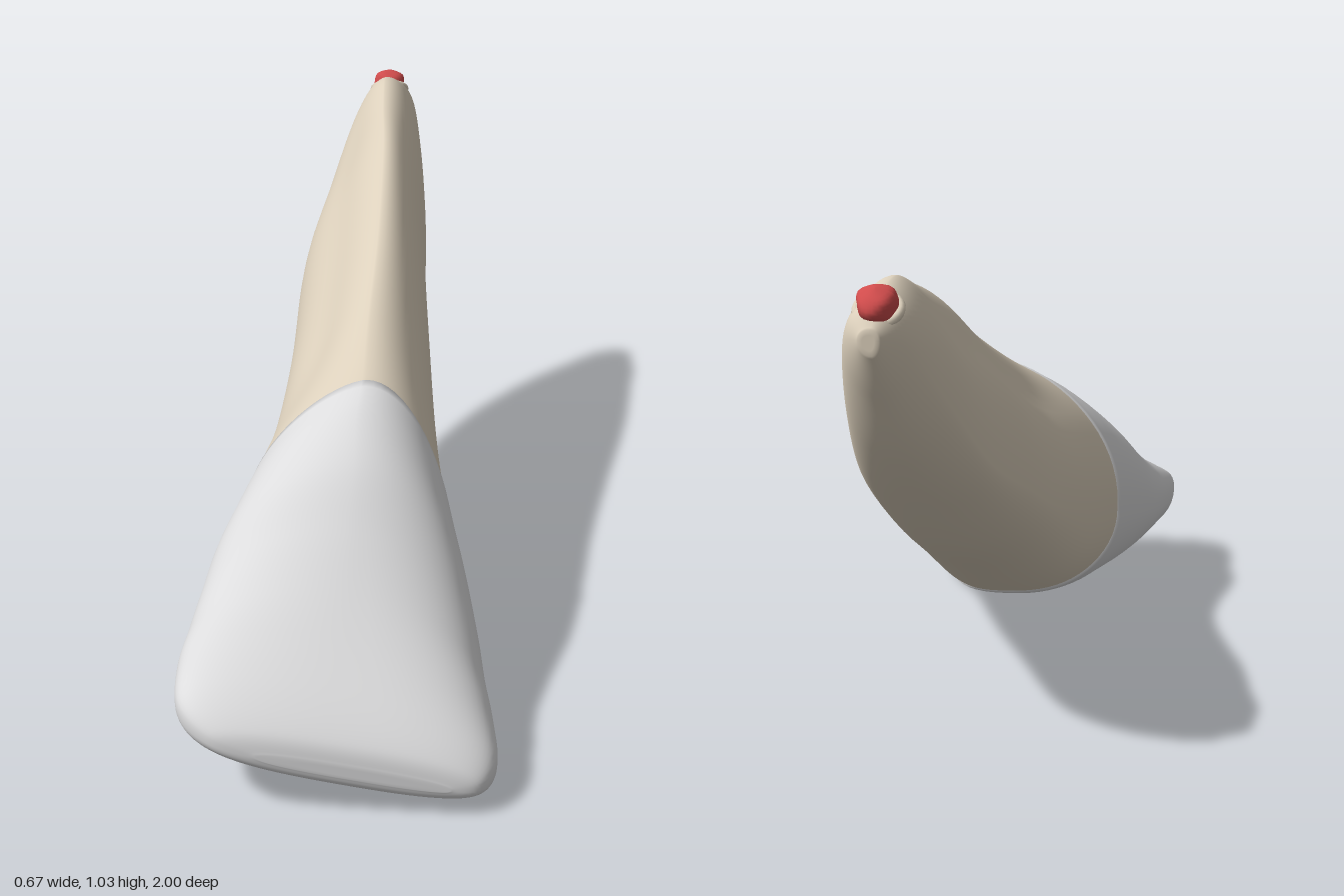
import * as THREE from 'three';

// Cross-sections from biting edge to root tip:
// z, top y, bottom y, min x, max x, x of top, x of bottom, y of widest point, upper roundness
const SECTIONS = [
  [1.00, .135, .105, -.16, .23, .03, .03, .12, .85],
  [.985, .18, .078, -.26, .295, .03, .03, .13, .8],
  [.92, .235, .047, -.325, .33, .02, .04, .145, .8],
  [.80, .30, .035, -.335, .33, .02, .05, .15, .88],
  [.70, .37, .031, -.322, .32, .03, .05, .165, 1.0],
  [.60, .46, .032, -.305, .31, .04, .05, .19, 1.12],
  [.50, .56, .038, -.282, .29, .05, .05, .23, 1.2],
  [.40, .625, .047, -.245, .265, .05, .05, .27, 1.25],
  [.30, .665, .062, -.212, .245, .06, .05, .30, 1.35],
  [.10, .73, .122, -.165, .232, .07, .05, .34, 1.45],
  [-.20, .835, .25, -.128, .225, .095, .05, .42, 1.5],
  [-.50, .95, .385, -.105, .22, .11, .05, .53, 1.5],
  [-.70, 1.0, .53, -.053, .225, .11, .07, .63, 1.5],
  [-.85, 1.033, .67, .008, .215, .115, .10, .78, 1.3],
  [-.95, 1.0, .81, .07, .195, .125, .12, .91, 1],
  [-1.0, .95, .90, .115, .155, .13, .13, .93, 1],
];
const LAST = SECTIONS.length - 1;
const SEGMENTS = 72;

// Smooth value of one column at a fractional section index
function column(s, k) {
  const i = Math.min(Math.floor(s), LAST - 1), t = s - i;
  const v = (n) => SECTIONS[THREE.MathUtils.clamp(n, 0, LAST)][k];
  const a = v(i - 1), b = v(i), c = v(i + 1), d = v(i + 2);
  return b + 0.5 * t * (c - a + t * (2 * a - 5 * b + 4 * c - d + t * (3 * (b - c) + d - a)));
}

// Point on the tooth surface; scale moves it towards the section's middle
function surface(s, angle, scale = 1) {
  const [z, top, bottom, minX, maxX, topX, bottomX, midY, p] = SECTIONS[0].map((_, k) => column(s, k));
  const c = Math.cos(angle), n = Math.sin(angle);
  const side = c > 0 ? maxX : minX;
  // the underside is flatter around the neck than along the root
  const low = 1 - 0.24 * THREE.MathUtils.smoothstep(z, -0.4, 0.2);
  const q = n > 0 ? Math.min(1, p) : low;
  const power = n > 0 ? (c > 0 ? Math.min(1, p * 0.85) : p) : low;
  let x = THREE.MathUtils.lerp(n > 0 ? topX : bottomX, side, Math.abs(c) ** power);
  let y = THREE.MathUtils.lerp(midY, n > 0 ? top : bottom, Math.abs(n) ** q);

  // long groove down the -x side of the root
  const along = THREE.MathUtils.smoothstep(-z, -0.3, 0) * (1 - THREE.MathUtils.smoothstep(-z, 0.55, 0.95));
  const f = scale * (1 - 0.11 * along * Math.exp(-(((angle - 2.33) / 0.3) ** 2)));
  const midX = (minX + maxX) / 2, centreY = (top + bottom) / 2;
  x = midX + (x - midX) * f;
  y = centreY + (y - centreY) * f;

  // the biting edge slopes down towards +x
  y -= 0.2 * THREE.MathUtils.smoothstep(z, 0.15, 0.75) * x;
  return [x, y, z];
}

// Section index where the gum line crosses a given angle
function gumLine(angle) {
  const n = Math.sin(angle), c = Math.cos(angle);
  const z = 0.37 - (n > 0 ? 0.07 : 0.27) * n * n - (c < 0 ? 0.04 * c * c : 0);
  let lo = 0, hi = LAST;
  for (let i = 0; i < 24; i++) {
    const mid = (lo + hi) / 2;
    if (column(mid, 0) > z) lo = mid; else hi = mid;
  }
  return lo;
}

// Skin rings of points; ring(i, angle) runs from front to back
function loft(count, ring) {
  const positions = [], index = [];
  for (let i = 0; i < count; i++) {
    for (let j = 0; j < SEGMENTS; j++) positions.push(...ring(i, (j / SEGMENTS) * Math.PI * 2));
  }
  for (let i = 0; i < count - 1; i++) {
    for (let j = 0; j < SEGMENTS; j++) {
      const k = (j + 1) % SEGMENTS;
      const a = i * SEGMENTS + j, b = i * SEGMENTS + k;
      index.push(a, a + SEGMENTS, b, b, a + SEGMENTS, b + SEGMENTS);
    }
  }
  const geometry = new THREE.BufferGeometry();
  geometry.setAttribute('position', new THREE.Float32BufferAttribute(positions, 3));
  geometry.setIndex(index);
  geometry.computeVertexNormals();
  return geometry;
}

export function createModel() {
  const group = new THREE.Group();
  const material = (name, color) => Object.assign(new THREE.MeshStandardMaterial({ color }), { name });
  const add = (name, geometry, mat) => {
    const mesh = new THREE.Mesh(geometry, mat);
    mesh.name = name;
    group.add(mesh);
    return mesh;
  };
  const enamel = material('enamel', 0xdcdcdd);
  const dentine = material('dentine', 0xdcd0bc);
  const pulp = material('pulp', 0xd04c4c);

  // Crown: closed biting edge, then a slight lip over the root
  const steps = 60;
  add('crown', loft(steps + 4, (i, angle) => {
    if (i < 2) return surface(0, angle, i * 0.6);
    const t = Math.min((i - 2) / steps, 1);
    const scale = i === steps + 3 ? 0.95 : 1 + 0.015 * t ** 12;
    return surface(gumLine(angle) * t, angle, scale);
  }), enamel);

  // Root: from the gum line to the closed tip
  add('root', loft(steps + 3, (i, angle) => {
    if (i > steps) return surface(LAST, angle, (steps + 2 - i) * 0.6);
    return surface(THREE.MathUtils.lerp(gumLine(angle), LAST, i / steps), angle);
  }), dentine);

  // Nerve end: a lumpy bead at the root tip
  const bead = new THREE.SphereGeometry(1, 24, 16);
  const pos = bead.attributes.position;
  const v = new THREE.Vector3();
  for (let i = 0; i < pos.count; i++) {
    v.fromBufferAttribute(pos, i);
    v.multiplyScalar(1 + 0.07 * Math.sin(4 * v.x + 1) * Math.cos(5 * v.y) + 0.05 * Math.sin(5 * v.z));
    pos.setXYZ(i, v.x, v.y, v.z);
  }
  bead.computeVertexNormals();
  const nerve = add('nerveEnd', bead, pulp);
  nerve.scale.set(0.041, 0.034, 0.044);
  nerve.position.set(0.127, 0.993, -0.954);
  nerve.rotation.x = -0.4;

  // Rim of the opening around the nerve
  const rim = add('tipOpeningRim', new THREE.TorusGeometry(0.042, 0.01, 10, 28), dentine);
  rim.position.set(0.127, 0.98, -0.94);
  rim.rotation.x = -2.2;
  return group;
}
